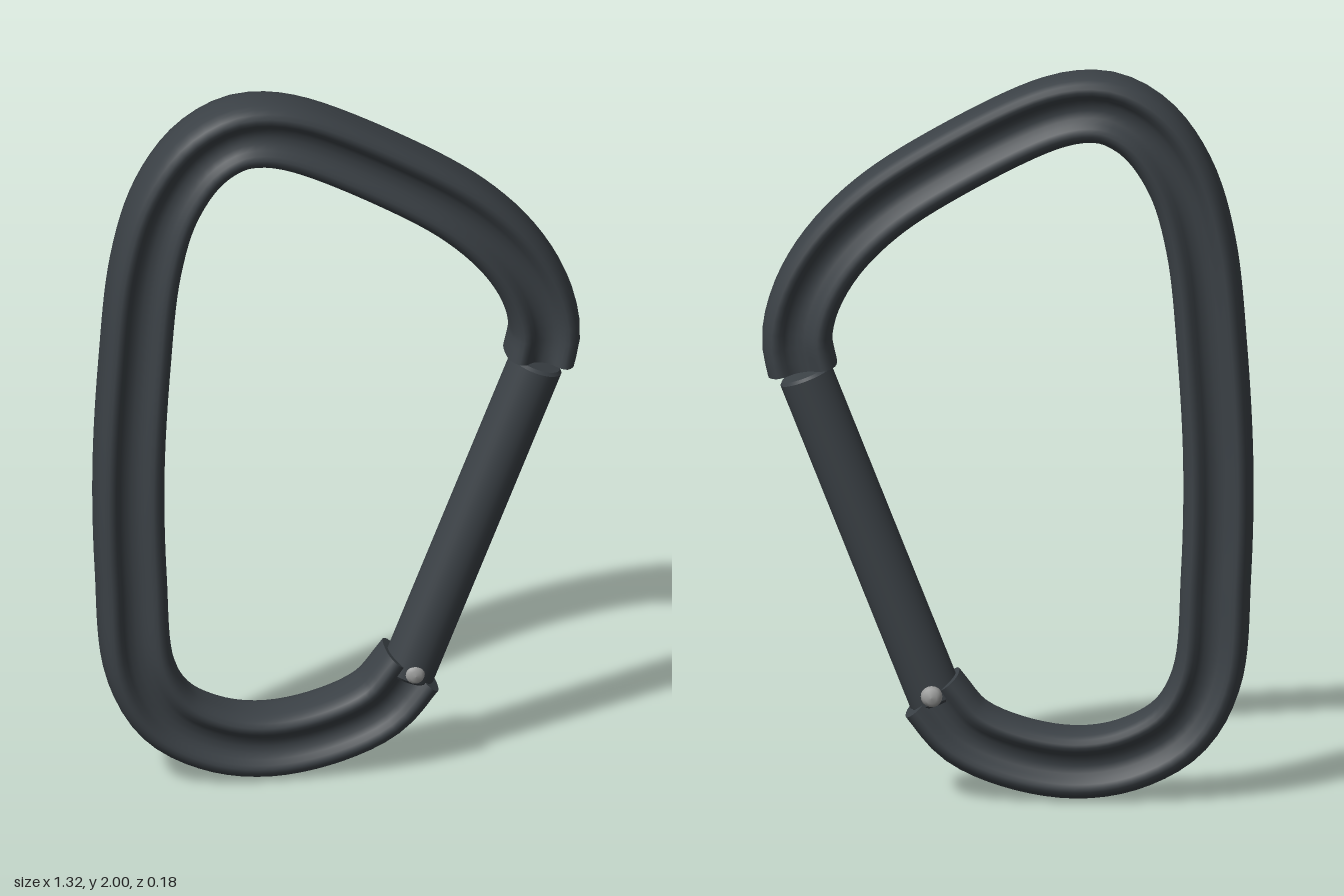
import * as THREE from 'three';

// Sweeps a counter-clockwise section (x = outward, y = depth) along a flat path, with end caps.
function sweep(path, section, steps) {
  const n = section.length, pos = [], idx = [];
  const ring = (i) => {
    const p = path.getPointAt(i / steps), t = path.getTangentAt(i / steps);
    for (const s of section) pos.push(p.x - t.y * s.x, p.y + t.x * s.x, s.y);
  };
  for (let i = 0; i <= steps; i++) ring(i);
  for (let i = 0; i < steps; i++) {
    for (let j = 0; j < n; j++) {
      const k = (j + 1) % n, a = i * n + j, b = i * n + k;
      idx.push(a, b, a + n, b, b + n, a + n);
    }
  }
  // caps use their own vertices so the cut stays sharp
  const tris = THREE.ShapeUtils.triangulateShape(section, []);
  for (const end of [0, steps]) {
    const base = pos.length / 3;
    ring(end);
    for (const [a, b, c] of tris) {
      if (end) idx.push(base + a, base + b, base + c);
      else idx.push(base + a, base + c, base + b);
    }
  }
  const geo = new THREE.BufferGeometry();
  geo.setAttribute('position', new THREE.Float32BufferAttribute(pos, 3));
  geo.setIndex(idx);
  geo.computeVertexNormals();
  return geo;
}

export function createModel() {
  const model = new THREE.Group();
  model.name = 'carabiner';
  const metal = new THREE.MeshStandardMaterial({ name: 'darkMetal', color: 0x3b4146 });
  const steel = new THREE.MeshStandardMaterial({ name: 'rivetSteel', color: 0x9c9d9c });

  // Frame centreline, from the hinge end round the spine to the nose
  const path = new THREE.CatmullRomCurve3([
    [0.2, 0.285], [0.115, 0.185], [-0.02, 0.123], [-0.19, 0.097], [-0.335, 0.123],
    [-0.462, 0.2], [-0.535, 0.335], [-0.56, 0.62], [-0.566, 0.92], [-0.55, 1.235],
    [-0.52, 1.525], [-0.467, 1.71], [-0.382, 1.838], [-0.29, 1.897], [-0.214, 1.907],
    [-0.11, 1.885], [0.14, 1.76], [0.345, 1.625], [0.47, 1.496], [0.54, 1.37],
    [0.563, 1.26], [0.548, 1.177],
  ].map(([x, y]) => new THREE.Vector3(x, y, 0)));

  // Rounded I-beam section with a shallow groove on the front and back
  const quarter = [[0.093, 0.025], [0.086, 0.058], [0.066, 0.081], [0.045, 0.076], [0.02, 0.052]];
  const mirror = (sx, sy, flip) => {
    const q = quarter.map(([x, y]) => new THREE.Vector3(x * sx, y * sy, 0));
    return flip ? q.reverse() : q;
  };
  const outline = new THREE.CatmullRomCurve3(
    [...mirror(1, 1), ...mirror(-1, 1, true), ...mirror(-1, -1), ...mirror(1, -1, true)], true);
  const section = outline.getPoints(40).slice(0, 40).map((p) => new THREE.Vector2(p.x, p.y));
  const frame = new THREE.Mesh(sweep(path, section, 110), metal);
  frame.name = 'frame';
  model.add(frame);

  // Gate: straight round bar with slightly eased ends
  const low = new THREE.Vector3(0.188, 0.262, 0.006), high = new THREE.Vector3(0.542, 1.163, 0.006);
  const len = low.distanceTo(high), r = 0.074;
  const profile = [[0, 0], [r - 0.008, 0], [r - 0.008, 0], [r, 0.008], [r, 0.008],
    [r, len - 0.008], [r, len - 0.008], [r - 0.008, len], [r - 0.008, len], [0, len]];
  const gate = new THREE.Mesh(
    new THREE.LatheGeometry(profile.map(([x, y]) => new THREE.Vector2(x, y)), 32), metal);
  gate.name = 'gate';
  gate.position.copy(low);
  gate.quaternion.setFromUnitVectors(new THREE.Vector3(0, 1, 0), high.clone().sub(low).normalize());
  model.add(gate);

  // Hinge rivet: pin with a domed head on each side
  const rivet = new THREE.LatheGeometry([[0, -0.09], [0.015, -0.088], [0.024, -0.081], [0.029, -0.068],
    [0.029, 0.068], [0.024, 0.081], [0.015, 0.088], [0, 0.09]].map(([x, y]) => new THREE.Vector2(x, y)), 20);
  rivet.rotateX(Math.PI / 2);
  const pin = new THREE.Mesh(rivet, steel);
  pin.name = 'hingeRivet';
  pin.position.set(0.2, 0.29, 0);
  model.add(pin);

  return model;
}
